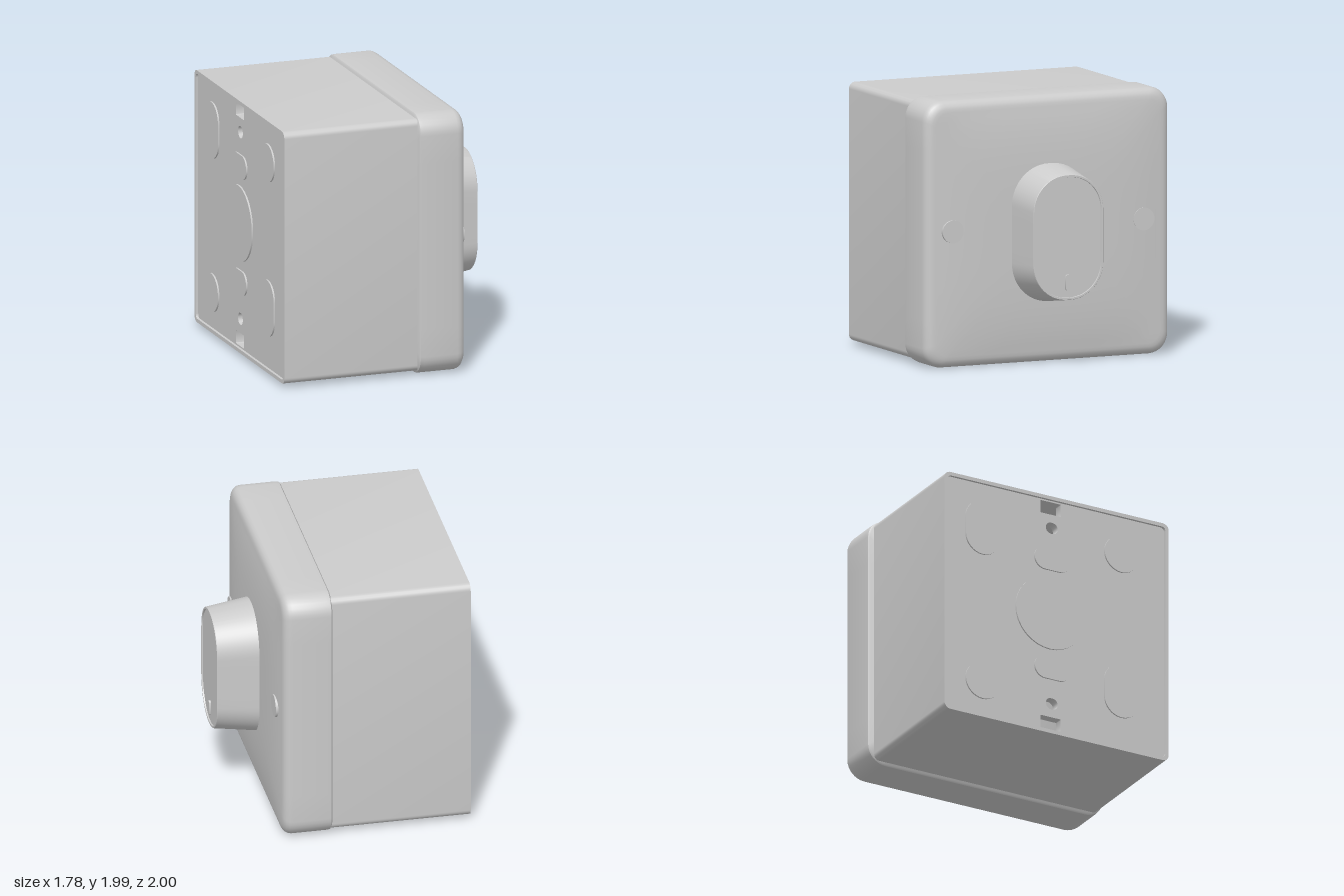
import * as THREE from 'three';
import { toCreasedNormals } from 'three/addons/utils/BufferGeometryUtils.js';

const MID = 0.995; // height of the box centre
const grey = new THREE.MeshStandardMaterial({ color: 0xcccccc });

// Rounded rectangle as [across, up] points, counter-clockwise; across is -z
function outline(a, b, r, arc = 8, side = 8) {
  const pts = [];
  const corners = [[1, 1], [-1, 1], [-1, -1], [1, -1]];
  corners.forEach(([sx, sy], k) => {
    for (let i = 0; i <= arc; i++) {
      const t = (k + i / arc) * Math.PI / 2;
      pts.push([sx * (a - r) + r * Math.cos(t), sy * (b - r) + r * Math.sin(t)]);
    }
    const [nx, ny] = corners[(k + 1) % 4];
    const t = (k + 1) * Math.PI / 2;
    const p = pts[pts.length - 1];
    const q = [nx * (a - r) + r * Math.cos(t), ny * (b - r) + r * Math.sin(t)];
    for (let i = 1; i < side; i++) {
      pts.push([p[0] + (q[0] - p[0]) * i / side, p[1] + (q[1] - p[1]) * i / side]);
    }
  });
  return pts;
}

// Skin closed loops of [x, y, z] points running towards +x, capped at both ends
function loft(loops, crease) {
  const n = loops[0].length, index = [], pos = loops.flat(2);
  const centre = (l) => l.reduce((s, p) => s.map((v, i) => v + p[i] / n), [0, 0, 0]);
  const last = loops.length - 1, c0 = loops.length * n;
  pos.push(...centre(loops[0]), ...centre(loops[last]));
  for (let j = 0; j < n; j++) {
    const k = (j + 1) % n;
    for (let i = 0; i < last; i++) {
      const a = i * n + j, b = i * n + k;
      index.push(a, b, b + n, a, b + n, a + n);
    }
    index.push(c0, k, j, c0 + 1, last * n + j, last * n + k);
  }
  const g = new THREE.BufferGeometry();
  g.setAttribute('position', new THREE.Float32BufferAttribute(pos, 3));
  g.setIndex(index);
  return toCreasedNormals(g, crease);
}

const loop = (x, pts, y = MID) => pts.map(([s, t]) => [x, y + t, -s]);

function shapeOf(a, b, r, z = 0, y = 0, Type = THREE.Shape) {
  return new Type(outline(a, b, r, 8, 1).map(([s, t]) => new THREE.Vector2(s - z, t + y)));
}

// Extrude a shape along +x
function slab(shape, depth) {
  const g = new THREE.ExtrudeGeometry(shape, { depth, bevelEnabled: false });
  return toCreasedNormals(g.rotateY(Math.PI / 2), 0.6);
}

export function createModel() {
  const group = new THREE.Group();
  const add = (name, geometry, x = 0, y = 0, z = 0) => {
    const m = new THREE.Mesh(geometry, grey);
    m.name = name;
    m.position.set(x, y, z);
    group.add(m);
  };

  // Hollow box walls with a narrow rim at the back
  const walls = shapeOf(0.953, 0.965, 0.05);
  walls.holes.push(shapeOf(0.925, 0.937, 0.03, 0, 0, THREE.Path));
  add('housing', slab(walls, 1.06), -0.89, MID);

  // Recessed back panel with cable slots and keyholes
  const panel = shapeOf(0.93, 0.942, 0.03);
  for (const s of [1, -1]) {
    panel.holes.push(shapeOf(0.085, 0.05, 0.005, -0.04, s * 0.875, THREE.Path));
    panel.holes.push(shapeOf(0.05, 0.045, 0.044, -0.03, s * 0.715, THREE.Path));
  }
  add('backPanel', slab(panel, 0.07), -0.87, MID);

  // Knockouts on the back panel: z, y, half width, half height
  const knockouts = [
    [-0.62, 1.575, 0.145, 0.215], [0.56, 0.517, 0.145, 0.215],
    [-0.62, 0.33, 0.145, 0.145], [0.56, 1.63, 0.145, 0.145],
    [-0.05, 1.01, 0.29, 0.29],
    [-0.03, 1.453, 0.15, 0.09], [-0.03, 0.566, 0.15, 0.09],
  ];
  for (const [z, y, a, b] of knockouts) {
    add('knockout', slab(shapeOf(a, b, Math.min(a, b) - 0.001), 0.02), -0.882, y, z);
  }

  // Cover plate: straight sides, rounded edge, slightly domed face
  const rim = [[0.16, 0.015], [0.17, 0.003], [0.2, 0], [0.46, 0], [0.485, 0.006],
    [0.505, 0.018], [0.52, 0.038], [0.528, 0.06], [0.531, 0.085]];
  const plate = rim.map(([x, d]) => loop(x, outline(1 - d, MID - d, 0.15 - d * 0.6)));
  const edge = outline(0.915, 0.91, 0.1);
  for (const k of [0.95, 0.88, 0.8, 0.7, 0.6, 0.45, 0.3, 0.15]) {
    plate.push(edge.map(([s, t]) => {
      const u = s * k / 0.915, v = t * k / 0.91;
      return [0.531 + 0.039 * (1 - u ** 4) * (1 - v ** 4), MID + t * k, -s * k];
    }));
  }
  add('coverPlate', loft(plate, 0.7));

  // Screw covers either side of the knob
  for (const z of [0.79, -0.77]) {
    const g = new THREE.CylinderGeometry(0.085, 0.085, 0.04, 40).rotateZ(-Math.PI / 2);
    add('screwCover', g, 0.54, 1.02, z);
  }

  // Tapered oblong knob with a raised lip around its face
  const knob = [[0.54, 0.318, 0.518], [0.878, 0.285, 0.467], [0.882, 0.282, 0.464],
    [0.882, 0.268, 0.45], [0.872, 0.266, 0.448]]
    .map(([x, a, b]) => loop(x, outline(a, b, a - 0.015, 14, 4), 0.972));
  add('knob', loft(knob, 0.5));

  // Pointer mark near the lower end of the knob
  add('pointer', slab(shapeOf(0.02, 0.06, 0.0195), 0.025), 0.862, 0.635, 0.005);

  return group;
}
